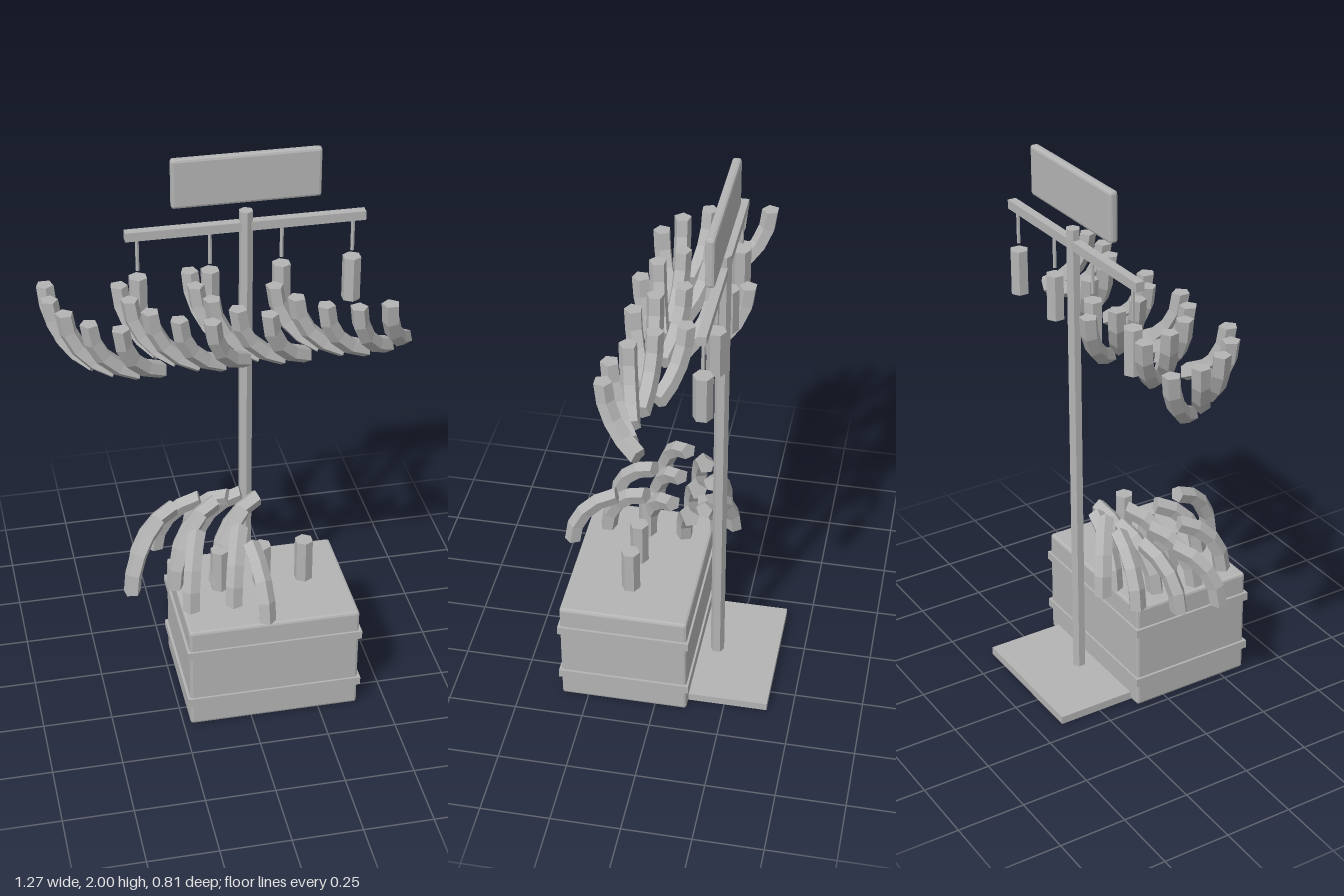
import * as THREE from 'three';
import { mergeGeometries } from 'three/addons/utils/BufferGeometryUtils.js';
import { RoundedBoxGeometry } from 'three/addons/geometries/RoundedBoxGeometry.js';

const CX = 0.085, POST_Z = -0.18, CRATE_Z = 0.115;
const FRUIT_RING = 0.32; // distance from a stem to its fruit

const grey = new THREE.MeshStandardMaterial({ color: 0xb4b4b4 });
grey.name = 'plainGrey';

function flat(geometry) {
  const g = geometry.index ? geometry.toNonIndexed() : geometry;
  g.computeVertexNormals();
  return g;
}

function add(parent, name, geometry, x, y, z) {
  const mesh = new THREE.Mesh(flat(geometry), grey);
  mesh.name = name;
  mesh.position.set(x, y, z);
  parent.add(mesh);
  return mesh;
}

// Five-sided curved fruit, capped at both ends; starts at the origin, rises and bends to -x
function fruitGeometry() {
  const R = 0.22, r = 0.032, arc = 1.31;
  const body = new THREE.TorusGeometry(R, r, 5, 4, arc);
  const startCap = new THREE.CircleGeometry(r, 5).rotateX(Math.PI / 2).translate(R, 0, 0);
  const endCap = new THREE.CircleGeometry(r, 5).rotateX(-Math.PI / 2).translate(R, 0, 0).rotateZ(arc);
  return mergeGeometries([body, startCap, endCap]).translate(-R, 0, 0);
}

// Fan of fruit around a stem: angles in degrees from +x towards +z, each twisted off the inward direction
function addFan(parent, name, geometry, x, y, z, first, step, count, twist) {
  const fan = new THREE.Group();
  fan.name = name;
  fan.position.set(x, y, z);
  for (let i = 0; i < count; i++) {
    const deg = first + i * step;
    const a = THREE.MathUtils.degToRad(deg);
    const fruit = add(fan, 'fruit', geometry, FRUIT_RING * Math.cos(a), 0, FRUIT_RING * Math.sin(a));
    fruit.rotation.y = -THREE.MathUtils.degToRad(deg + twist);
  }
  parent.add(fan);
}

export function createModel() {
  const model = new THREE.Group();
  model.name = 'fruitStand';

  // Crate with two raised bands
  add(model, 'crate', new RoundedBoxGeometry(0.62, 0.415, 0.465, 1, 0.01), CX, 0.2075, CRATE_Z);
  for (const y of [0.105, 0.317]) {
    add(model, 'crateBand', new THREE.BoxGeometry(0.638, 0.032, 0.48), CX, y, CRATE_Z);
  }

  // Foot plate, post, crossbar and sign
  add(model, 'footPlate', new THREE.BoxGeometry(0.522, 0.03, 0.455), CX, 0.015, POST_Z);
  add(model, 'post', new THREE.CylinderGeometry(0.0255, 0.0255, 1.785, 6), CX, 0.8925, POST_Z);
  add(model, 'crossbar', new THREE.BoxGeometry(0.84, 0.033, 0.032), CX, 1.73, POST_Z);
  add(model, 'signBoard', new RoundedBoxGeometry(0.52, 0.18, 0.032, 1, 0.01), CX, 1.91, -0.177);

  const stem = new THREE.CylinderGeometry(0.034, 0.034, 0.165, 6);
  const rising = fruitGeometry();
  const hanging = rising.clone().rotateX(Math.PI);

  // Four hanging bunches: rod, stem and five fruit each
  [190, 180, 190, 160].forEach((first, i) => {
    const x = CX + (i - 1.5) * 0.252;
    add(model, 'hangingRod', new THREE.CylinderGeometry(0.007, 0.007, 0.12, 6), x, 1.655, POST_Z);
    add(model, 'hangingStem', stem, x, 1.488, POST_Z);
    addFan(model, 'hangingBunch', hanging, x, 1.545, POST_Z, first, -20, 5, 45);
  });

  // Three bunches standing on the crate: stem and four fruit each
  [180, 153.3, 126.7].forEach((first, i) => {
    const x = CX + (i - 1) * 0.155;
    add(model, 'crateStem', stem, x, 0.512, CRATE_Z);
    addFan(model, 'crateBunch', rising, x, 0.455, CRATE_Z, first, 26.67, 4, -45);
  });

  return model;
}
